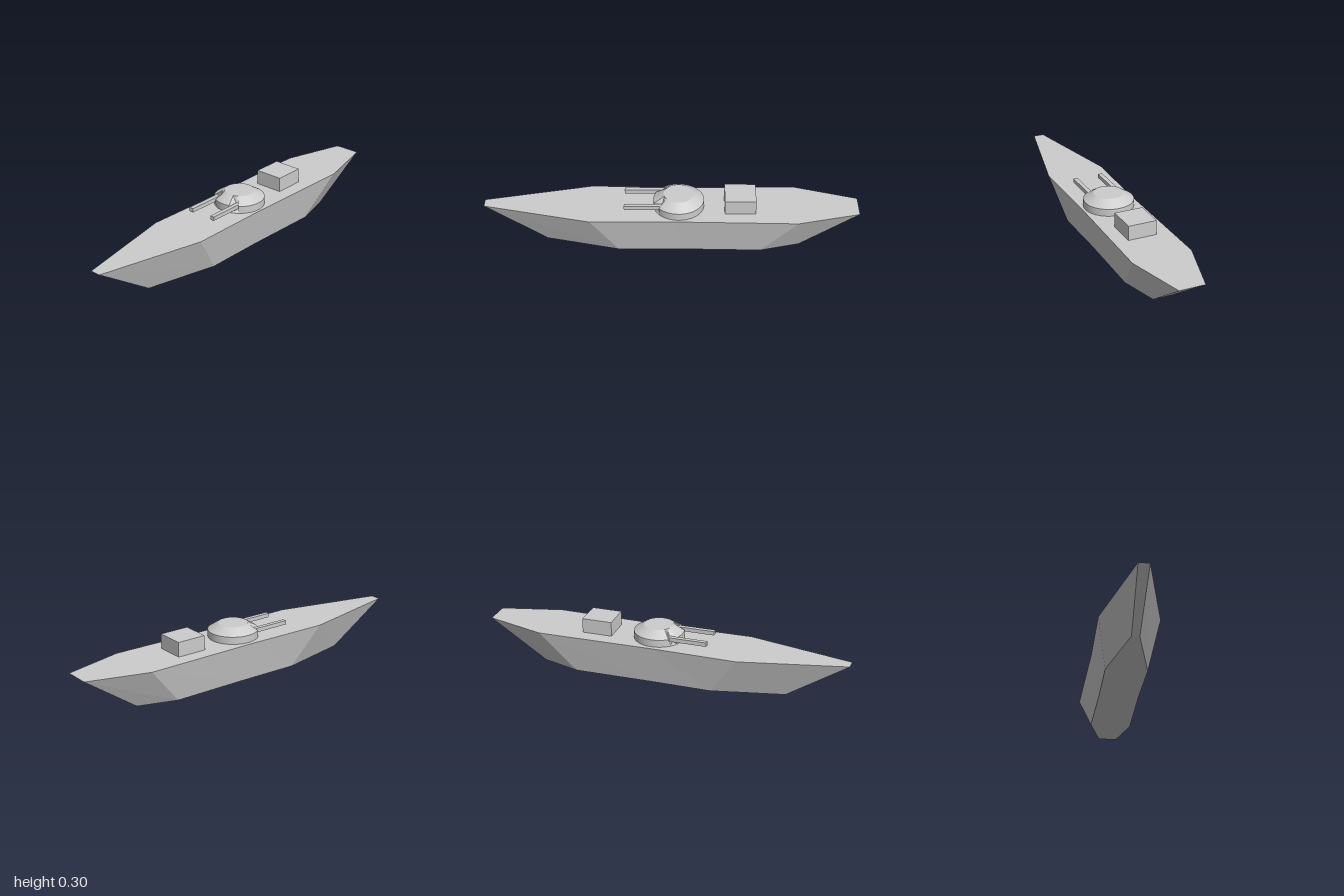
import * as THREE from 'three';
import { toCreasedNormals } from 'three/addons/utils/BufferGeometryUtils.js';

const DECK_Y = 0.22;

// Hull stations from bow (-x) to stern (+x): [x, zMin, zMax] at deck and at keel
const STATIONS = [
  { deck: [-1, -0.038, 0.02], keel: [-0.67, -0.027, 0.014] },
  { deck: [-0.43, -0.165, 0.155], keel: [-0.28, -0.112, 0.108] },
  { deck: [0.02, -0.156, 0.151], keel: [0.06, -0.108, 0.105] },
  { deck: [0.67, -0.162, 0.163], keel: [0.48, -0.11, 0.112] },
  { deck: [1, -0.062, 0.08], keel: [0.69, -0.043, 0.056] },
];

function hullGeometry() {
  const positions = [];
  const quad = (a, b, c, d) => positions.push(...a, ...b, ...c, ...a, ...c, ...d);
  // Each ring runs: deck back, deck front, keel front, keel back
  const rings = STATIONS.map(({ deck, keel }) => [
    [deck[0], DECK_Y, deck[1]],
    [deck[0], DECK_Y, deck[2]],
    [keel[0], 0, keel[2]],
    [keel[0], 0, keel[1]],
  ]);
  for (let i = 0; i < rings.length - 1; i++) {
    for (let k = 0; k < 4; k++) {
      const n = (k + 1) % 4;
      quad(rings[i][k], rings[i][n], rings[i + 1][n], rings[i + 1][k]);
    }
  }
  const [bow, stern] = [rings[0], rings[rings.length - 1]];
  quad(bow[3], bow[2], bow[1], bow[0]);
  quad(stern[0], stern[1], stern[2], stern[3]);
  const geometry = new THREE.BufferGeometry();
  geometry.setAttribute('position', new THREE.Float32BufferAttribute(positions, 3));
  geometry.computeVertexNormals();
  return geometry;
}

// Low drum with a bevelled cap; its rim is pushed in where the barrels enter
function turretGeometry(centreX, barrelZs, slotX) {
  const profile = [[0.135, DECK_Y], [0.135, 0.26], [0.08, 0.295], [0, 0.295]]
    .map(([r, y]) => new THREE.Vector2(r, y));
  const geometry = new THREE.LatheGeometry(profile, 64);
  geometry.translate(centreX, 0, 0.002);
  const p = geometry.attributes.position;
  for (let i = 0; i < p.count; i++) {
    const inSlot = barrelZs.some((z) => Math.abs(p.getZ(i) - z) < 0.015);
    if (inSlot && p.getX(i) < slotX && p.getY(i) > DECK_Y) p.setX(i, slotX);
  }
  return toCreasedNormals(geometry, 0.45);
}

export function createModel() {
  const model = new THREE.Group();
  model.name = 'gunboat';
  const grey = new THREE.MeshStandardMaterial({ color: 0xcccccc });
  grey.name = 'light grey';

  const add = (name, geometry, parent = model) => {
    const mesh = new THREE.Mesh(geometry, grey);
    mesh.name = name;
    parent.add(mesh);
    return mesh;
  };

  add('hull', hullGeometry());

  // Deckhouse behind the turret
  add('deckhouse', new THREE.BoxGeometry(0.165, 0.08, 0.157))
    .position.set(0.367, DECK_Y + 0.04, 0.001);

  // Turret with twin barrels pointing to the bow
  const turret = new THREE.Group();
  turret.name = 'turret';
  model.add(turret);
  const barrelZs = [-0.079, 0.068];
  add('turretDrum', turretGeometry(0.04, barrelZs, -0.045), turret);
  for (const z of barrelZs) {
    add(z < 0 ? 'rightBarrel' : 'leftBarrel', new THREE.BoxGeometry(0.215, 0.022, 0.024), turret)
      .position.set(-0.1425, 0.255, z);
  }
  return model;
}
